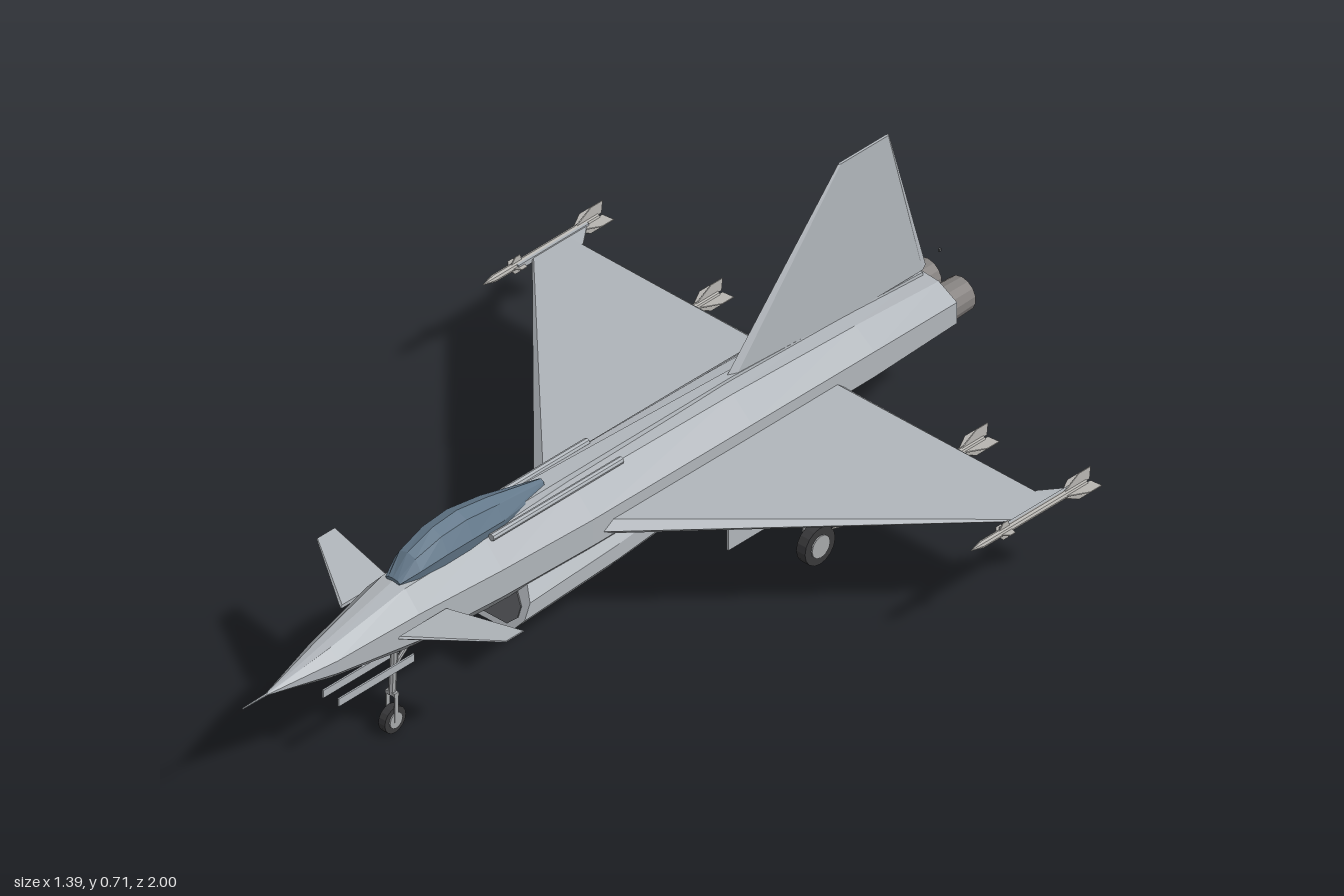
import * as THREE from 'three';

const mat = (name, color, side = THREE.FrontSide) =>
  new THREE.MeshStandardMaterial({ name, color, side, flatShading: true });
const V = (x, y, z) => new THREE.Vector3(x, y, z);

// Closed faceted skin through rings of equal point count, with end caps
function loft(rings) {
  const tris = [];
  const n = rings[0].length;
  const centre = r => r.reduce((s, p) => s.add(p), V(0, 0, 0)).divideScalar(n);
  for (let i = 0; i < rings.length - 1; i++) {
    const a = rings[i], b = rings[i + 1];
    for (let j = 0; j < n; j++) {
      const k = (j + 1) % n;
      tris.push([a[j], b[j], b[k]], [a[j], b[k], a[k]]);
    }
  }
  const a = rings[0], b = rings[rings.length - 1], ca = centre(a), cb = centre(b);
  for (let j = 0; j < n; j++) {
    const k = (j + 1) % n;
    tris.push([ca, a[j], a[k]], [cb, b[k], b[j]]);
  }
  // Turn every face outward
  let volume = 0;
  for (const [p, q, r] of tris) {
    volume += p.clone().sub(ca).dot(q.clone().sub(ca).cross(r.clone().sub(ca)));
  }
  const pts = tris.flatMap(t => (volume < 0 ? [t[0], t[2], t[1]] : t));
  const g = new THREE.BufferGeometry().setFromPoints(pts);
  g.computeVertexNormals();
  return g;
}

// Ring mirrored about x = 0 from a half outline running bottom to top
function mirrorRing(z, half) {
  const left = half.slice().reverse().filter(p => p[0] > 0).map(([x, y]) => [-x, y]);
  return half.concat(left).map(([x, y]) => V(x, y, z));
}

// Tapered thin plate with bevelled edges between a root chord and a tip chord
function blade(root, tip, thickDir) {
  const section = ([lead, trail, t]) => [[0, 0], [0.04, 1], [0.97, 1], [1, 0], [0.97, -1], [0.04, -1]]
    .map(([f, s]) => lead.clone().lerp(trail, f).addScaledVector(thickDir, s * t));
  return loft([section(root), section(tip)]);
}

function rod(a, b, r1, r2 = r1, sides = 8) {
  const d = b.clone().sub(a);
  const g = new THREE.CylinderGeometry(r2, r1, d.length(), sides);
  g.applyQuaternion(new THREE.Quaternion().setFromUnitVectors(V(0, 1, 0), d.normalize()));
  const c = a.clone().add(b).multiplyScalar(0.5);
  return g.translate(c.x, c.y, c.z);
}

const box = (w, h, d, x, y, z) => new THREE.BoxGeometry(w, h, d).translate(x, y, z);

export function createModel() {
  const skin = mat('skin grey', 0xb0b5ba);
  const glass = mat('canopy blue', 0x64798b);
  const metal = mat('nozzle metal', 0x84807e, THREE.DoubleSide);
  const dark = mat('intake dark', 0x55575a);
  const rubber = mat('tyre black', 0x38383a);
  const steel = mat('gear steel', 0xa6a8aa);
  const pale = mat('missile pale grey', 0xb6b4b0);

  const model = new THREE.Group();
  model.name = 'jetFighter';
  const add = (name, geo, material, parent = model) => {
    const m = new THREE.Mesh(geo, material);
    m.name = name;
    parent.add(m);
    return m;
  };
  const up = V(0, 1, 0), across = V(1, 0, 0);

  // Fuselage: z, top, bottom, half width, shoulder height, lower edge height
  const body = [
    [0.93, 0.269, 0.265, 0.003, 0.268, 0.266],
    [0.77, 0.308, 0.233, 0.04, 0.285, 0.255],
    [0.57, 0.358, 0.207, 0.07, 0.31, 0.247],
    [0.35, 0.37, 0.193, 0.086, 0.312, 0.248],
    [0.1, 0.372, 0.19, 0.095, 0.312, 0.25],
    [-0.35, 0.366, 0.19, 0.096, 0.312, 0.25],
    [-0.7, 0.352, 0.2, 0.095, 0.31, 0.25],
    [-0.94, 0.335, 0.216, 0.09, 0.305, 0.255],
  ];
  add('fuselage', loft(body.map(([z, t, b, w, s, l]) => mirrorRing(z,
    [[0, b], [w * 0.5, b + (l - b) * 0.1], [w, l], [w, s], [w * 0.45, t - (t - s) * 0.1], [0, t]]))), skin);
  add('noseProbe', rod(V(0, 0.267, 0.92), V(0, 0.267, 1), 0.003, 0.0015, 6), skin);

  // Spine behind the cockpit: z, half width, top
  add('spine', loft([[0.3, 0.036, 0.382], [0.1, 0.03, 0.379], [-0.38, 0.015, 0.37], [-0.93, 0.009, 0.342]]
    .map(([z, w, t]) => mirrorRing(z, [[0, t - 0.03], [w, t - 0.03], [w * 0.7, t], [0, t]]))), skin);

  // Canopy: z, half width, base, top
  add('canopy', loft([
    [0.572, 0.02, 0.355, 0.364], [0.53, 0.036, 0.355, 0.405], [0.46, 0.043, 0.355, 0.429],
    [0.39, 0.045, 0.355, 0.435], [0.3, 0.04, 0.355, 0.422], [0.15, 0.012, 0.36, 0.39],
  ].map(([z, w, b, t]) => mirrorRing(z,
    [[0, b], [w * 0.85, b], [w, b + (t - b) * 0.4], [w * 0.6, b + (t - b) * 0.87], [0, t]]))), glass);

  // Chin intake with a raked lip: z, half width, bottom
  const intakeRing = (z, w, b, rake = 0) => mirrorRing(z, [
    [0, b], [w * 0.74, b], [w, b + 0.03], [w, b + 0.065], [w * 0.74, b + 0.1], [0, b + 0.1]])
    .map(p => p.setZ(z - rake * (p.y - b)));
  add('intakeDuct', loft([
    intakeRing(0.31, 0.095, 0.138, 0.45), intakeRing(0.03, 0.095, 0.152),
    intakeRing(-0.2, 0.09, 0.17), intakeRing(-0.47, 0.07, 0.196),
  ]), skin);
  const mouth = z => intakeRing(z, 0.095, 0.138).map(p => {
    const y = 0.181 + (p.y - 0.188) * 0.62;
    return V(p.x * 0.82, y, z - 0.45 * (y - 0.138));
  });
  add('intakeMouth', loft([mouth(0.313), mouth(0.308)]), dark);
  add('intakeSplitter', box(0.008, 0.056, 0.006, 0, 0.181, 0.294), steel);

  // Tail fin and beacon
  add('tailFin', blade([V(0, 0.35, -0.362), V(0, 0.35, -0.945), 0.009],
    [V(0, 0.715, -0.695), V(0, 0.715, -0.84), 0.003], across), skin);
  add('tailBeacon', box(0.005, 0.006, 0.006, 0, 0.365, -0.985), dark);

  // Missile along z with cruciform fins
  function missile(x, y, front, rear) {
    const g = new THREE.Group();
    g.name = 'missile';
    g.position.set(x, y, 0);
    add('missileBody', rod(V(0, 0, rear + 0.015), V(0, 0, front - 0.03), 0.008), pale, g);
    add('missileNose', rod(V(0, 0, front - 0.03), V(0, 0, front), 0.008, 0.001), pale, g);
    for (let i = 0; i < 4; i++) {
      const tail = add('missileTailFin', blade([V(0.004, 0, rear + 0.085), V(0.004, 0, rear + 0.003), 0.0015],
        [V(0.031, 0, rear + 0.035), V(0.031, 0, rear), 0.001], up), pale, g);
      const fore = add('missileForeFin', blade([V(0.004, 0, front - 0.075), V(0.004, 0, front - 0.11), 0.0015],
        [V(0.02, 0, front - 0.09), V(0.02, 0, front - 0.105), 0.001], up), pale, g);
      tail.rotation.z = fore.rotation.z = i * Math.PI / 2;
    }
    model.add(g);
  }

  function wheel(name, x, y, z, r, w) {
    add(name + 'Tyre', new THREE.CylinderGeometry(r, r, w, 16).rotateZ(Math.PI / 2).translate(x, y, z), rubber);
    add(name + 'Hub', new THREE.CylinderGeometry(r * 0.6, r * 0.6, w + 0.006, 12)
      .rotateZ(Math.PI / 2).translate(x, y, z), steel);
  }

  for (const s of [1, -1]) {
    // Wing and canard
    add('wing', blade([V(s * 0.06, 0.268, 0.107), V(s * 0.06, 0.268, -0.615), 0.018],
      [V(s * 0.658, 0.268, -0.515), V(s * 0.658, 0.268, -0.615), 0.003], up), skin);
    add('canard', blade([V(s * 0.078, 0.29, 0.64), V(s * 0.078, 0.29, 0.497), 0.004],
      [V(s * 0.256, 0.308, 0.52), V(s * 0.256, 0.308, 0.467), 0.0015], up), skin);
    add('shoulderFairing', rod(V(s * 0.046, 0.366, 0.34), V(s * 0.046, 0.366, -0.03), 0.008), skin);

    // Weapons and their mounts
    add('tipRail', box(0.008, 0.012, 0.2, s * 0.655, 0.268, -0.57), skin);
    add('tipFillet', blade([V(s * 0.615, 0.268, -0.6), V(s * 0.615, 0.268, -0.616), 0.003],
      [V(s * 0.655, 0.268, -0.6), V(s * 0.655, 0.268, -0.67), 0.003], up), skin);
    missile(s * 0.662, 0.268, -0.38, -0.72);
    add('pylon', box(0.008, 0.045, 0.18, s * 0.36, 0.242, -0.51), skin);
    missile(s * 0.36, 0.215, -0.3, -0.745);

    // Engine nozzle
    add('nozzle', new THREE.CylinderGeometry(0.041, 0.038, 0.08, 14, 1, true)
      .rotateX(Math.PI / 2).translate(s * 0.046, 0.277, -0.96), metal);
    add('nozzleCore', new THREE.CircleGeometry(0.039, 14)
      .rotateY(Math.PI).translate(s * 0.046, 0.277, -0.95), metal);

    // Main landing gear
    wheel('main', s * 0.202, 0.043, -0.42, 0.043, 0.024);
    add('mainStrut', rod(V(s * 0.178, 0.045, -0.42), V(s * 0.158, 0.26, -0.42), 0.008), steel);
    add('mainAxle', rod(V(s * 0.172, 0.045, -0.42), V(s * 0.205, 0.043, -0.42), 0.007), steel);
    add('mainBrace', rod(V(s * 0.168, 0.15, -0.42), V(s * 0.158, 0.255, -0.36), 0.005), steel);
    add('mainGearDoor', box(0.005, 0.085, 0.295, s * 0.21, 0.205, -0.308), skin);

    // Nose gear door and fork arm
    add('noseGearDoor', box(0.004, 0.018, 0.215, s * 0.021, 0.166, 0.642), skin);
    add('noseFork', box(0.003, 0.066, 0.01, s * 0.0115, 0.06, 0.574), steel);
  }

  // Nose landing gear
  wheel('nose', 0, 0.03, 0.574, 0.03, 0.018);
  add('noseForkBridge', box(0.026, 0.008, 0.012, 0, 0.092, 0.574), steel);
  add('noseStrut', rod(V(0, 0.09, 0.574), V(0, 0.22, 0.566), 0.008), steel);
  add('noseBrace', rod(V(0, 0.15, 0.57), V(0, 0.21, 0.5), 0.005), steel);
  return model;
}
